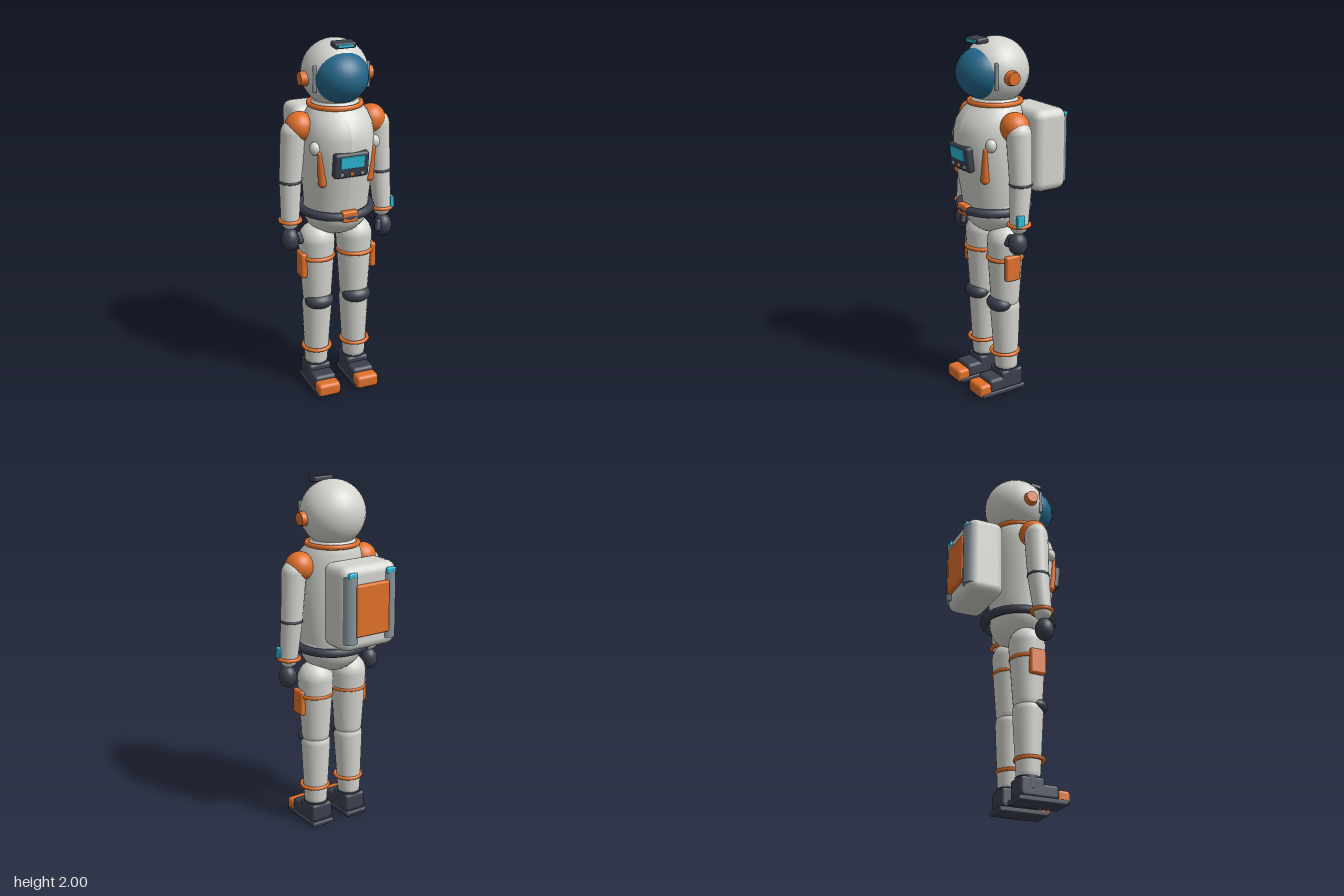
import * as THREE from 'three';
import { RoundedBoxGeometry } from 'three/addons/geometries/RoundedBoxGeometry.js';

const mat = (name, color) => {
  const m = new THREE.MeshStandardMaterial({ color });
  m.name = name;
  return m;
};

export function createModel() {
  const suit = mat('suit white', 0xd3d4ce);
  const orange = mat('orange trim', 0xe0702a);
  const dark = mat('dark rubber', 0x3b404e);
  const cyan = mat('cyan light', 0x2bbcdc);
  const glass = mat('visor blue', 0x23678a);
  const metal = mat('grey metal', 0x87929a);
  const root = new THREE.Group();

  const add = (name, geo, material, x = 0, y = 0, z = 0, parent = root) => {
    const m = new THREE.Mesh(geo, material);
    m.name = name;
    m.position.set(x, y, z);
    parent.add(m);
    return m;
  };
  const box = (w, h, d, r) => new RoundedBoxGeometry(w, h, d, 2, r);
  const ball = (rx, ry, rz) => new THREE.SphereGeometry(1, 28, 20).scale(rx, ry, rz);
  const ring = (r, tube) => new THREE.TorusGeometry(r, tube, 8, 28).rotateX(Math.PI / 2);

  // Stack of oval cross-sections, top to bottom: [y, half width, back z, front z]
  const loft = (rows) => {
    const n = rows.length - 1;
    const geo = new THREE.CylinderGeometry(1, 1, 1, 32, n);
    const p = geo.attributes.position;
    for (let i = 0; i < p.count; i++) {
      const [y, rx, back, front] = rows[Math.round((0.5 - p.getY(i)) * n)];
      p.setXYZ(i, p.getX(i) * rx, y, (back + front) / 2 + p.getZ(i) * (front - back) / 2);
    }
    geo.computeVertexNormals();
    return geo;
  };

  // Tapered limb with round ends between two points
  const limb = (name, a, b, ra, rb, material, parent) => {
    const from = new THREE.Vector3(...a), to = new THREE.Vector3(...b);
    const len = from.distanceTo(to), pts = [];
    for (let i = 0; i <= 6; i++) {
      const t = (i / 6) * Math.PI / 2;
      pts.push(new THREE.Vector2(ra * Math.sin(t), -ra * Math.cos(t)));
    }
    for (let i = 0; i <= 6; i++) {
      const t = (i / 6) * Math.PI / 2;
      pts.push(new THREE.Vector2(rb * Math.cos(t), len + rb * Math.sin(t)));
    }
    const m = add(name, new THREE.LatheGeometry(pts, 24), material, ...a, parent);
    m.quaternion.setFromUnitVectors(new THREE.Vector3(0, 1, 0), to.sub(from).normalize());
    return m;
  };

  // Helmet, visor and head lamp
  add('helmet', ball(0.18, 0.18, 0.18), suit, 0, 1.815, 0.065);
  add('visor', ball(0.15, 0.14, 0.15), glass, 0, 1.81, 0.141);
  add('headLamp', box(0.12, 0.03, 0.07, 0.01), dark, 0, 1.983, 0.178).rotation.x = 0.1;
  add('lampStrip', box(0.09, 0.018, 0.012, 0.004), cyan, 0, 1.98, 0.215);

  // Torso, pelvis, collar and belt
  add('torso', loft([
    [1.675, 0.12, -0.045, 0.185], [1.65, 0.14, -0.062, 0.205], [1.61, 0.168, -0.07, 0.245],
    [1.56, 0.185, -0.076, 0.282], [1.5, 0.194, -0.08, 0.3], [1.42, 0.198, -0.083, 0.3],
    [1.32, 0.195, -0.085, 0.288], [1.2, 0.187, -0.085, 0.266], [1.1, 0.178, -0.08, 0.25],
    [1.04, 0.17, -0.07, 0.24],
  ]), suit);
  add('pelvis', ball(0.185, 0.15, 0.16), suit, 0, 1.07, 0.083);
  add('collarRing', ring(0.14, 0.014), orange, 0, 1.652, 0.07);
  add('belt', ring(0.19, 0.025), dark, 0, 1.075, 0.08);
  add('buckle', box(0.09, 0.06, 0.04, 0.008), orange, 0, 1.077, 0.27);

  // Chest control panel
  const panel = new THREE.Group();
  panel.name = 'chestPanel';
  panel.position.set(0, 1.372, 0.28);
  panel.rotation.x = 0.12;
  root.add(panel);
  add('panelBody', box(0.195, 0.14, 0.05, 0.016), dark, 0, 0, 0, panel);
  add('panelScreen', box(0.135, 0.066, 0.009, 0.003), cyan, 0, 0.022, 0.026, panel);
  for (const i of [-1, 0, 1]) {
    const knob = new THREE.CylinderGeometry(0.012, 0.012, 0.012, 14).rotateX(Math.PI / 2);
    add('panelButton', knob, i ? metal : orange, i * 0.058, -0.042, 0.027, panel);
  }

  // Backpack with rear panel
  add('backpack', box(0.352, 0.46, 0.21, 0.05), suit, 0, 1.37, -0.187);
  add('backpackPanel', box(0.21, 0.28, 0.04, 0.01), orange, 0, 1.365, -0.295);

  for (const s of [-1, 1]) {
    const side = new THREE.Group();
    side.name = s > 0 ? 'leftSide' : 'rightSide';
    root.add(side);
    const put = (name, geo, material, x, y, z) => add(name, geo, material, s * x, y, z, side);
    const bone = (name, a, b, ra, rb, material) =>
      limb(name, [s * a[0], a[1], a[2]], [s * b[0], b[1], b[2]], ra, rb, material, side);

    // Helmet fittings
    const pod = new THREE.CylinderGeometry(0.036, 0.044, 0.045, 12).rotateZ(-s * Math.PI / 2);
    put('earPod', pod, orange, 0.183, 1.8, 0.08);
    put('visorHinge', box(0.02, 0.14, 0.018, 0.006), metal, 0.15, 1.81, 0.157);

    // Backpack tanks and lights
    put('tank', new THREE.CylinderGeometry(0.044, 0.044, 0.365, 12), metal, 0.124, 1.37, -0.266);
    put('tankLight', box(0.056, 0.032, 0.022, 0.007), cyan, 0.122, 1.556, -0.296);

    // Chest straps
    bone('strap', [0.135, 1.265, 0.222], [0.155, 1.43, 0.232], 0.024, 0.011, orange);
    put('strapAnchor', ball(0.03, 0.036, 0.03), suit, 0.17, 1.455, 0.205);

    // Arm
    put('shoulder', ball(0.08, 0.08, 0.08), orange, 0.206, 1.545, 0.08);
    bone('upperArm', [0.243, 1.515, 0.08], [0.262, 1.25, 0.08], 0.068, 0.06, suit);
    put('elbowRing', ring(0.055, 0.009), dark, 0.262, 1.25, 0.08);
    bone('forearm', [0.262, 1.25, 0.08], [0.273, 1.03, 0.098], 0.06, 0.05, suit);
    put('wristRing', ring(0.056, 0.011), orange, 0.271, 1.032, 0.095);
    put('glove', ball(0.05, 0.064, 0.053), dark, 0.276, 0.925, 0.106);
    bone('thumb', [0.238, 0.955, 0.13], [0.229, 0.92, 0.142], 0.018, 0.018, dark);

    // Leg
    bone('thigh', [0.112, 0.89, 0.078], [0.112, 0.56, 0.08], 0.102, 0.081, suit);
    put('thighRing', ring(0.094, 0.012), orange, 0.114, 0.8, 0.082);
    put('thighPouch', box(0.036, 0.145, 0.092, 0.012), orange, 0.207, 0.762, 0.095);
    put('kneePad', ball(0.083, 0.048, 0.066), dark, 0.113, 0.533, 0.12);
    bone('shin', [0.112, 0.5, 0.08], [0.117, 0.16, 0.076], 0.084, 0.066, suit);
    put('shinRing', ring(0.077, 0.011), orange, 0.117, 0.235, 0.085);

    // Boot
    put('bootCuff', new THREE.CylinderGeometry(0.068, 0.07, 0.07, 20), dark, 0.117, 0.105, 0.073);
    put('bootHeel', box(0.134, 0.1, 0.14, 0.015), dark, 0.117, 0.083, 0.073);
    put('bootFoot', box(0.134, 0.08, 0.22, 0.02), dark, 0.117, 0.062, 0.115);
    put('sole', box(0.142, 0.028, 0.285, 0.008), dark, 0.117, 0.015, 0.132);
    put('toeCap', box(0.134, 0.076, 0.08, 0.02), orange, 0.117, 0.043, 0.25);
  }

  // Wrist display on the left arm
  add('wristDisplay', box(0.024, 0.066, 0.046, 0.005), cyan, 0.318, 1.063, 0.118);
  return root;
}
